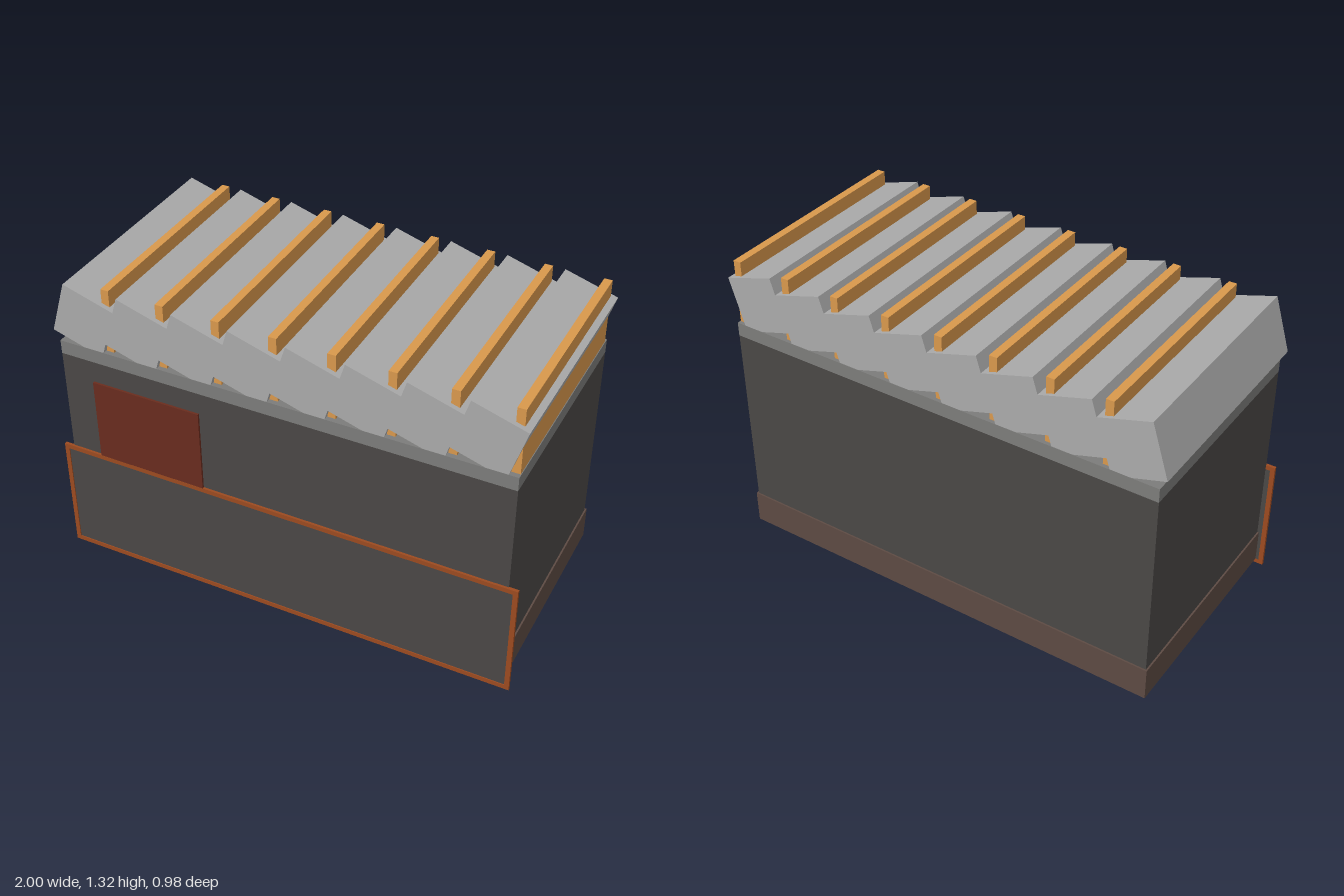
import * as THREE from 'three';

const material = (color) => new THREE.MeshStandardMaterial({ color });

export function createModel() {
  const model = new THREE.Group();
  model.name = 'louvredRoofBuilding';

  const wall = material(0x4a4745);
  const plinth = material(0x5d4a43);
  const cornice = material(0x7c7c7a);
  const slat = material(0xaaaaaa);
  const timber = material(0xd9984c);
  const rust = material(0x9c4a20);
  const doorRed = material(0x692c1e);

  // Box given by its limits on each axis
  function box(name, mat, [x0, x1], [y0, y1], [z0, z1], parent = model) {
    const mesh = new THREE.Mesh(new THREE.BoxGeometry(x1 - x0, y1 - y0, z1 - z0), mat);
    mesh.position.set((x0 + x1) / 2, (y0 + y1) / 2, (z0 + z1) / 2);
    mesh.name = name;
    parent.add(mesh);
    return mesh;
  }

  // Main block with plinth and cornice
  box('body', wall, [-0.96, 0.96], [0.019, 0.98], [-0.481, 0.48]);
  box('plinth', plinth, [-0.967, 0.967], [0.02, 0.165], [-0.488, 0.479]);
  box('cornice', cornice, [-0.96, 0.96], [0.98, 1.04], [-0.482, 0.481]);

  // Front panel inside a thin raised frame
  box('frontPanel', wall, [-0.98, 0.98], [0.02, 0.5], [0.477, 0.486]);
  const outline = new THREE.Shape();
  outline.moveTo(-1, 0).lineTo(1, 0).lineTo(1, 0.52).lineTo(-1, 0.52).closePath();
  const opening = new THREE.Path();
  opening.moveTo(-0.98, 0.02).lineTo(-0.98, 0.5).lineTo(0.98, 0.5).lineTo(0.98, 0.02).closePath();
  outline.holes.push(opening);
  const frame = new THREE.Mesh(
    new THREE.ExtrudeGeometry(outline, { depth: 0.013, bevelEnabled: false }), rust);
  frame.position.z = 0.477;
  frame.name = 'panelFrame';
  model.add(frame);

  // Door standing above the panel
  box('door', doorRed, [-0.82, -0.34], [0.5, 0.885], [0.477, 0.4895]);

  // Sawtooth roof: tilted slats, each pierced by an upright timber board
  const roof = new THREE.Group();
  roof.name = 'roof';
  model.add(roof);
  for (let i = 0; i < 8; i++) {
    const x = i * 0.24;
    const block = box('roofSlat', slat, [-0.957, -0.727], [1.044, 1.28], [-0.481, 0.48], roof);
    block.position.x += x;
    block.rotation.z = -0.3;
    box('roofBoard', timber, [x - 0.757, x - 0.723], [1.03, 1.32], [-0.466, 0.46], roof);
  }
  return model;
}
